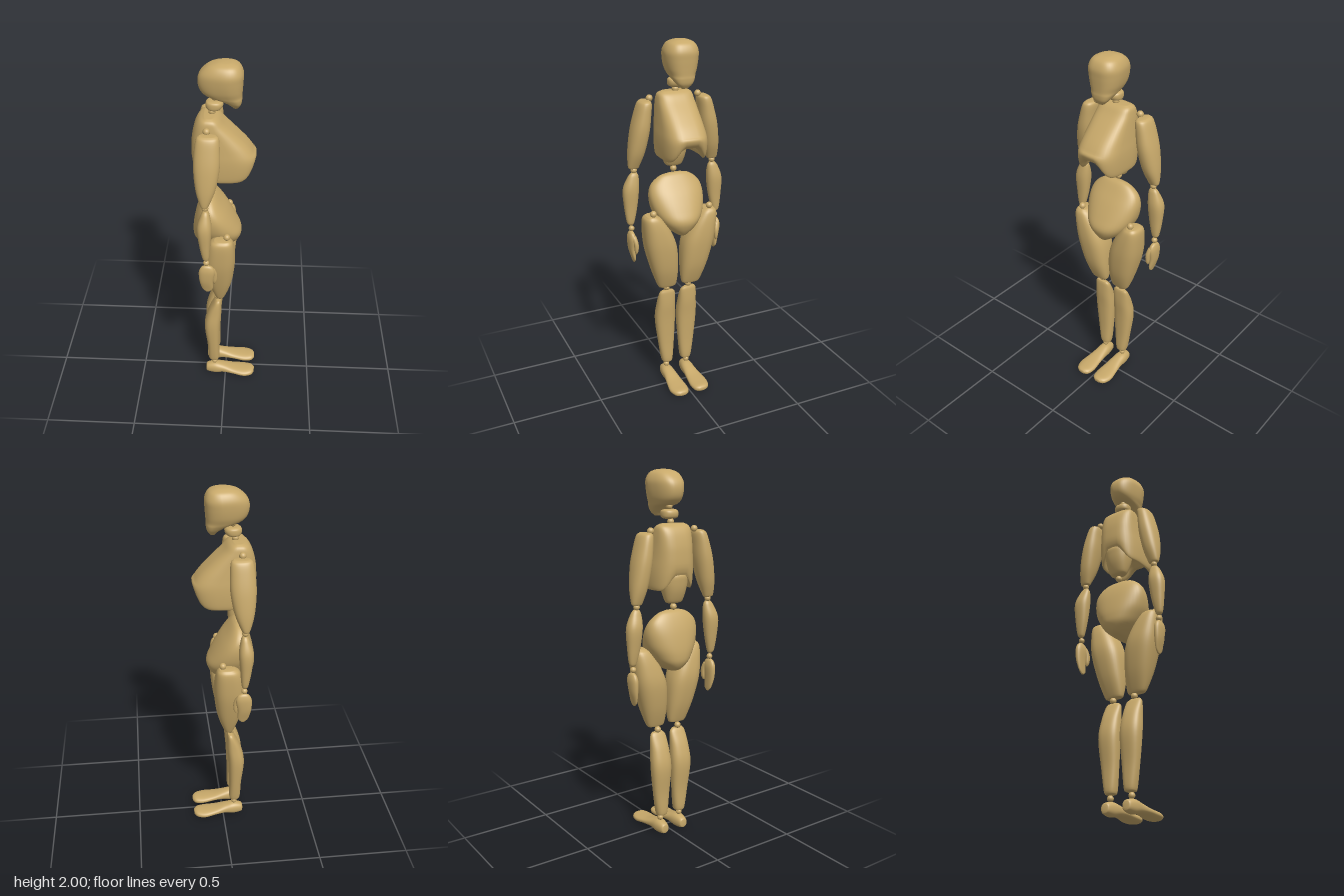
import * as THREE from 'three';

const wood = new THREE.MeshStandardMaterial({ color: 0xc8a96a });

// Smooth closed body through sections [t, aMin, aMax, bMin, bMax].
// Upright bodies use t = y, a = x, b = z; lying bodies use t = x, a = z, b = y.
// side = -1 mirrors in z; n sets how square the sections are.
function loft(name, rows, { n = 2.3, side = 1, lying = false, warp = null } = {}) {
  const curve = (pick) => new THREE.CatmullRomCurve3(
    rows.map((r) => new THREE.Vector3(...pick(r))), false, 'catmullrom', 0.5);
  const ca = curve((r) => [r[0], r[1], r[2]]);
  const cb = curve((r) => [0, r[3], r[4]]);
  const around = 40, steps = (rows.length - 1) * 5;
  const pos = [], index = [];
  const put = (t, a, b) => {
    const p = lying ? new THREE.Vector3(t, b, a) : new THREE.Vector3(a, t, b);
    if (warp) warp(p);
    pos.push(p.x, p.y, p.z * side);
  };
  const tri = (a, b, c) => (side > 0 ? index.push(a, b, c) : index.push(a, c, b));
  const sq = (v) => Math.sign(v) * Math.abs(v) ** (2 / n);
  for (let i = 0; i <= steps; i++) {
    const A = ca.getPoint(i / steps), B = cb.getPoint(i / steps);
    for (let j = 0; j < around; j++) {
      const q = (j / around) * Math.PI * 2;
      put(A.x, (A.y + A.z) / 2 + sq(Math.cos(q)) * (A.z - A.y) / 2,
        (B.y + B.z) / 2 + sq(Math.sin(q)) * (B.z - B.y) / 2);
    }
  }
  const start = (steps + 1) * around, end = start + 1;
  for (const r of [rows[0], rows[rows.length - 1]]) put(r[0], (r[1] + r[2]) / 2, (r[3] + r[4]) / 2);
  for (let j = 0; j < around; j++) {
    const k = (j + 1) % around, top = steps * around;
    for (let i = 0; i < steps; i++) {
      const p = i * around, q = p + around;
      tri(p + j, q + j, q + k);
      tri(p + j, q + k, p + k);
    }
    tri(start, j, k);
    tri(end, top + k, top + j);
  }
  const g = new THREE.BufferGeometry();
  g.setAttribute('position', new THREE.Float32BufferAttribute(pos, 3));
  g.setIndex(index);
  g.computeVertexNormals();
  const mesh = new THREE.Mesh(g, wood);
  mesh.name = name;
  return mesh;
}

// Sections symmetric about z = 0: [y, xBack, xFront, halfWidth]
const centred = (rows) => rows.map(([y, a, b, h]) => [y, a, b, -h, h]);

function ball(name, x, y, z, r) {
  const m = new THREE.Mesh(new THREE.SphereGeometry(r, 20, 14), wood);
  m.position.set(x, y, z);
  m.name = name;
  return m;
}

function limbs(side) {
  const g = new THREE.Group();
  g.name = side > 0 ? 'positiveSideLimbs' : 'negativeSideLimbs';
  const part = (name, rows, n) => g.add(loft(name, rows, { side, n }));
  const joint = (name, x, y, z, r) => g.add(ball(name, x, y, z * side, r));

  // Arm
  joint('shoulderJoint', -0.087, 1.697, 0.138, 0.018);
  part('upperArm', [
    [1.328, -0.108, -0.08, 0.205, 0.25], [1.34, -0.118, -0.072, 0.198, 0.26],
    [1.42, -0.14, -0.04, 0.17, 0.26], [1.53, -0.15, -0.02, 0.147, 0.245],
    [1.62, -0.145, -0.02, 0.138, 0.222], [1.675, -0.135, -0.025, 0.135, 0.203],
    [1.69, -0.12, -0.04, 0.145, 0.185]]);
  joint('elbowJoint', -0.093, 1.318, 0.23, 0.017);
  part('forearm', [
    [1.01, -0.1, -0.083, 0.243, 0.265], [1.03, -0.11, -0.074, 0.234, 0.277],
    [1.11, -0.125, -0.067, 0.216, 0.287], [1.21, -0.135, -0.06, 0.204, 0.291],
    [1.28, -0.115, -0.07, 0.205, 0.265], [1.305, -0.102, -0.08, 0.215, 0.247]]);
  joint('wristJoint', -0.09, 0.99, 0.252, 0.016);
  part('palm', [
    [0.793, -0.095, -0.075, 0.24, 0.25], [0.815, -0.113, -0.058, 0.238, 0.256],
    [0.87, -0.127, -0.056, 0.236, 0.27], [0.93, -0.13, -0.046, 0.234, 0.275],
    [0.962, -0.118, -0.055, 0.24, 0.27], [0.975, -0.1, -0.075, 0.248, 0.262]]);
  part('thumb', [
    [0.85, -0.055, -0.045, 0.24, 0.247], [0.87, -0.06, -0.036, 0.232, 0.252],
    [0.91, -0.064, -0.034, 0.23, 0.256], [0.945, -0.075, -0.045, 0.236, 0.262],
    [0.955, -0.07, -0.055, 0.243, 0.258]]);

  // Leg
  joint('hipJoint', 0.013, 1.095, 0.165, 0.018);
  part('thigh', [
    [0.63, -0.045, -0.012, 0.035, 0.11], [0.645, -0.057, 0.002, 0.018, 0.128],
    [0.75, -0.09, 0.036, 0.012, 0.165], [0.88, -0.11, 0.054, 0.022, 0.198],
    [0.98, -0.1, 0.055, 0.06, 0.21], [1.055, -0.078, 0.046, 0.11, 0.211],
    [1.08, -0.05, 0.03, 0.14, 0.195]], 2.6);
  joint('kneeJoint', -0.045, 0.612, 0.067, 0.018);
  part('shin', [
    [0.112, -0.085, -0.05, 0.04, 0.08], [0.13, -0.1, -0.037, 0.027, 0.092],
    [0.25, -0.106, -0.036, 0.016, 0.11], [0.4, -0.12, -0.03, 0.008, 0.125],
    [0.5, -0.1, -0.022, 0.012, 0.12], [0.575, -0.066, -0.022, 0.018, 0.113],
    [0.598, -0.05, -0.026, 0.035, 0.1]], 2.5);
  joint('ankleJoint', -0.065, 0.095, 0.064, 0.017);
  g.add(loft('foot', [
    [-0.116, 0.05, 0.075, 0.025, 0.05], [-0.108, 0.038, 0.088, 0.012, 0.068],
    [-0.06, 0.028, 0.098, 0.005, 0.08], [-0.01, 0.024, 0.1, 0.014, 0.07],
    [0.05, 0.018, 0.11, 0.014, 0.054], [0.11, 0.012, 0.118, 0.005, 0.047],
    [0.155, 0.02, 0.105, 0.005, 0.044], [0.174, 0.042, 0.08, 0.016, 0.035]],
  { side, lying: true }));
  return g;
}

export function createModel() {
  const model = new THREE.Group();
  model.name = 'jointedFigure';

  // Head: egg-shaped from above, narrower at the back, chin at the front
  model.add(loft('head', centred([
    [1.762, 0.035, 0.06, 0.018], [1.785, 0.015, 0.075, 0.042], [1.81, -0.03, 0.08, 0.058],
    [1.83, -0.095, 0.08, 0.068], [1.86, -0.126, 0.082, 0.08], [1.905, -0.136, 0.085, 0.088],
    [1.945, -0.125, 0.085, 0.088], [1.98, -0.088, 0.068, 0.07], [1.996, -0.045, 0.038, 0.04],
    [2.0, -0.015, 0.01, 0.012]]),
  { n: 2.7, warp: (p) => { p.z *= 1 + 0.25 * Math.min(0, (p.x - 0.0) / 0.13); } }));

  // Neck
  model.add(ball('upperNeckJoint', -0.055, 1.815, 0, 0.018));
  model.add(loft('neck', centred([
    [1.752, -0.08, -0.035, 0.03], [1.76, -0.095, -0.02, 0.043], [1.778, -0.1, -0.012, 0.046],
    [1.793, -0.095, -0.018, 0.043], [1.8, -0.08, -0.035, 0.03]])));
  model.add(ball('lowerNeckJoint', -0.068, 1.737, 0, 0.018));

  // Rib cage: hollow underneath, arched up between the two side lobes
  model.add(loft('ribCage', centred([
    [1.5, -0.11, 0.0, 0.05], [1.45, -0.13, 0.06, 0.08], [1.4, -0.145, 0.09, 0.098],
    [1.39, -0.155, 0.115, 0.108], [1.41, -0.163, 0.138, 0.115], [1.46, -0.17, 0.153, 0.118],
    [1.51, -0.173, 0.153, 0.117], [1.56, -0.173, 0.122, 0.112], [1.62, -0.168, 0.065, 0.106],
    [1.68, -0.153, 0.002, 0.1], [1.715, -0.132, -0.03, 0.092], [1.73, -0.105, -0.055, 0.07]]),
  {
    n: 3,
    warp: (p) => {
      const low = THREE.MathUtils.clamp((1.53 - p.y) / 0.13, 0, 1);
      p.y += 0.075 * low * (1 - THREE.MathUtils.smoothstep(Math.abs(p.z), 0.03, 0.1));
    },
  }));

  // Waist and pelvis
  model.add(loft('waist', centred([
    [1.318, -0.115, -0.075, 0.035], [1.33, -0.13, -0.062, 0.05], [1.38, -0.15, -0.04, 0.065],
    [1.43, -0.16, -0.03, 0.073], [1.47, -0.16, -0.03, 0.07], [1.485, -0.13, -0.06, 0.045]])));
  model.add(ball('waistJoint', -0.095, 1.298, 0, 0.018));
  model.add(loft('pelvis', centred([
    [0.946, -0.07, 0.025, 0.015], [0.96, -0.135, 0.048, 0.04], [1.0, -0.168, 0.075, 0.09],
    [1.045, -0.175, 0.085, 0.122], [1.1, -0.17, 0.06, 0.146], [1.17, -0.155, 0.018, 0.154],
    [1.225, -0.135, -0.022, 0.137], [1.265, -0.112, -0.052, 0.09], [1.28, -0.09, -0.07, 0.04]])));

  for (const side of [1, -1]) model.add(limbs(side));
  return model;
}
